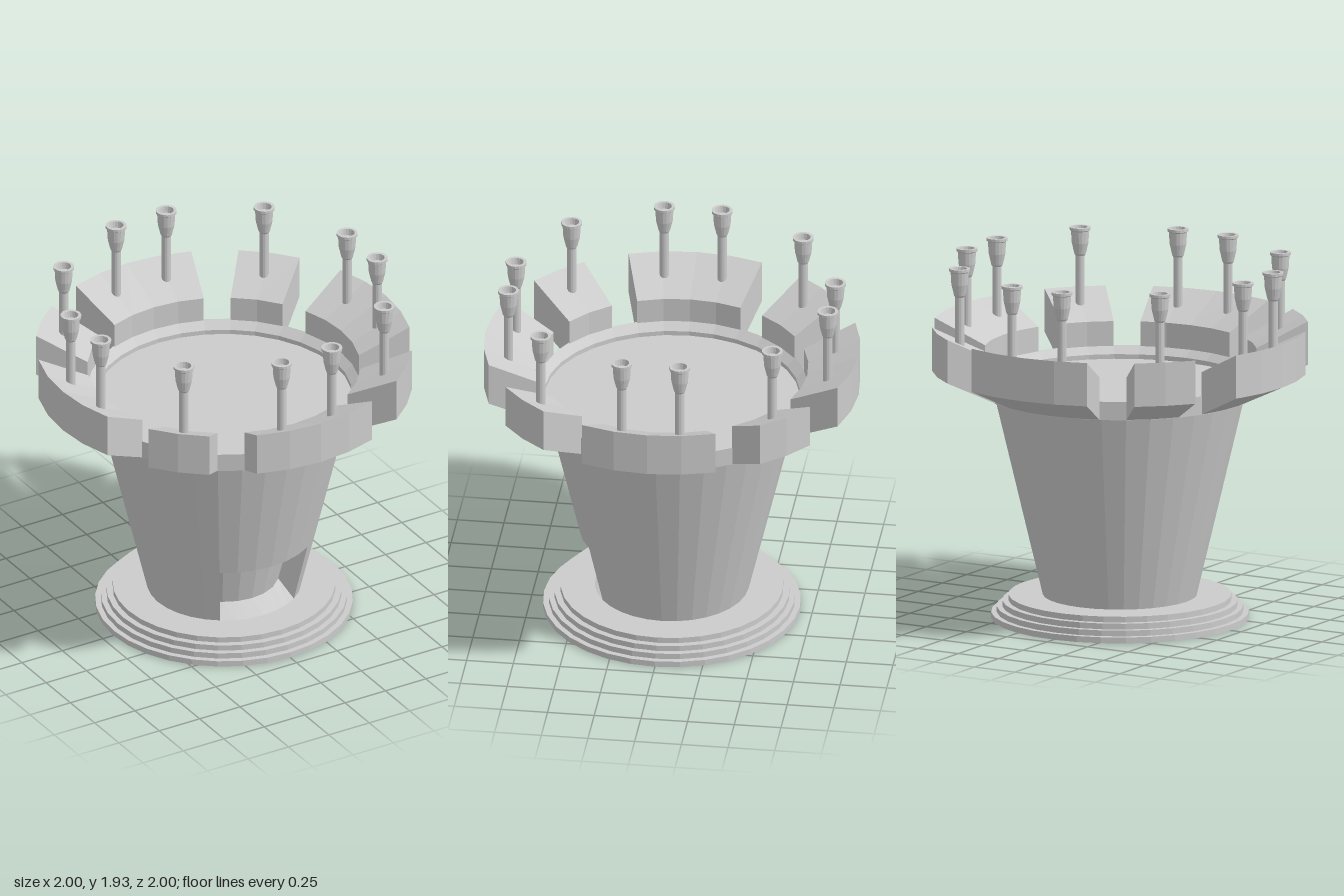
import * as THREE from 'three';

const SIDES = 32;
const STEP = (Math.PI * 2) / SIDES;
const material = new THREE.MeshStandardMaterial({ color: 0xcccccc, flatShading: true });

function add(parent, name, geometry) {
  const mesh = new THREE.Mesh(geometry, material);
  mesh.name = name;
  parent.add(mesh);
  return mesh;
}

function lathe(profile, sides = SIDES) {
  return new THREE.LatheGeometry(profile.map(([r, y]) => new THREE.Vector2(r, y)), sides);
}

// Skins a row of four-point sections and caps both ends; open leaves the last side out
function loft(sections, open = false) {
  const pos = [];
  const quad = (a, b, c, d) => [a, b, c, a, c, d].forEach((p) => pos.push(...p));
  for (let i = 0; i < sections.length - 1; i++) {
    const A = sections[i], B = sections[i + 1];
    for (let j = 0; j < (open ? 3 : 4); j++) {
      const k = (j + 1) % 4;
      quad(A[j], B[j], B[k], A[k]);
    }
  }
  quad(...sections[0]);
  quad(...[...sections[sections.length - 1]].reverse());
  const g = new THREE.BufferGeometry();
  g.setAttribute('position', new THREE.Float32BufferAttribute(pos, 3));
  g.computeVertexNormals();
  return g;
}

const polar = (r, a, y) => [r * Math.sin(a), y, r * Math.cos(a)];

// Battlement block: slanted top and underside, curved outer face
function blockGeometry(innerHalf, outerHalf, parts) {
  const sections = [];
  for (let i = 0; i <= parts; i++) {
    const t = (2 * i) / parts - 1;
    const a = THREE.MathUtils.degToRad(t * innerHalf);
    const b = THREE.MathUtils.degToRad(t * outerHalf);
    sections.push([polar(0.725, a, 1.22), polar(1, b, 1.35), polar(1, b, 1.585), polar(0.725, a, 1.45)]);
  }
  return loft(sections);
}

export function createModel() {
  const model = new THREE.Group();
  model.name = 'tower';

  // Stepped round base
  add(model, 'base', lathe([
    [0, 0], [0.685, 0], [0.685, 0.032], [0.655, 0.032], [0.655, 0.063],
    [0.625, 0.063], [0.625, 0.094], [0.592, 0.094], [0.592, 0.125], [0, 0.125],
  ]));

  // Tapered wall, with six facets left out below for the doorway
  const upper = add(model, 'upperWall', new THREE.CylinderGeometry(0.67, 0.49, 0.76, SIDES, 1, true));
  upper.position.y = 0.84;
  const lower = add(model, 'lowerWall',
    new THREE.CylinderGeometry(0.49, 0.41, 0.335, SIDES - 6, 1, true, 3 * STEP, (SIDES - 6) * STEP));
  lower.position.y = 0.2925;

  // Doorway recess with ramped floor, side walls, back and ceiling
  const niche = [];
  for (let i = -3; i <= 3; i++) {
    const bottom = polar(0.41, i * STEP, 0.125);
    const top = polar(0.49, i * STEP, 0.46);
    const inset = ([x], r, y) => [x, y, Math.sqrt(r * r - x * x)];
    niche.push([bottom, inset(bottom, 0.29, 0.17), inset(top, 0.36, 0.46), top]);
  }
  add(model, 'doorway', loft(niche, true));

  // Rim and sunken floor
  add(model, 'rimAndFloor', lathe([
    [0.66, 1.22], [0.73, 1.22], [0.73, 1.32], [0.68, 1.28], [0.68, 1.255], [0, 1.255],
  ]));

  // Eight blocks, alternating wide with two posts and narrow with one
  const wide = blockGeometry(22.4, 20.9, 4);
  const narrow = blockGeometry(11.3, 9.6, 2);
  const post = lathe([
    [0.025, 1.49], [0.025, 1.78], [0.031, 1.79], [0.045, 1.85], [0.049, 1.915], [0.056, 1.92],
    [0.056, 1.935], [0.04, 1.935], [0.034, 1.9], [0, 1.9],
  ], 16);
  for (let i = 0; i < 8; i++) {
    const isWide = i % 2 === 0;
    const unit = new THREE.Group();
    unit.name = isWide ? 'wideBattlement' : 'narrowBattlement';
    unit.rotation.y = (i * Math.PI) / 4;
    add(unit, 'block', isWide ? wide : narrow);
    for (const x of isWide ? [-0.155, 0.155] : [0]) {
      add(unit, 'post', post).position.set(x, 0, isWide ? 0.855 : 0.877);
    }
    model.add(unit);
  }
  return model;
}
